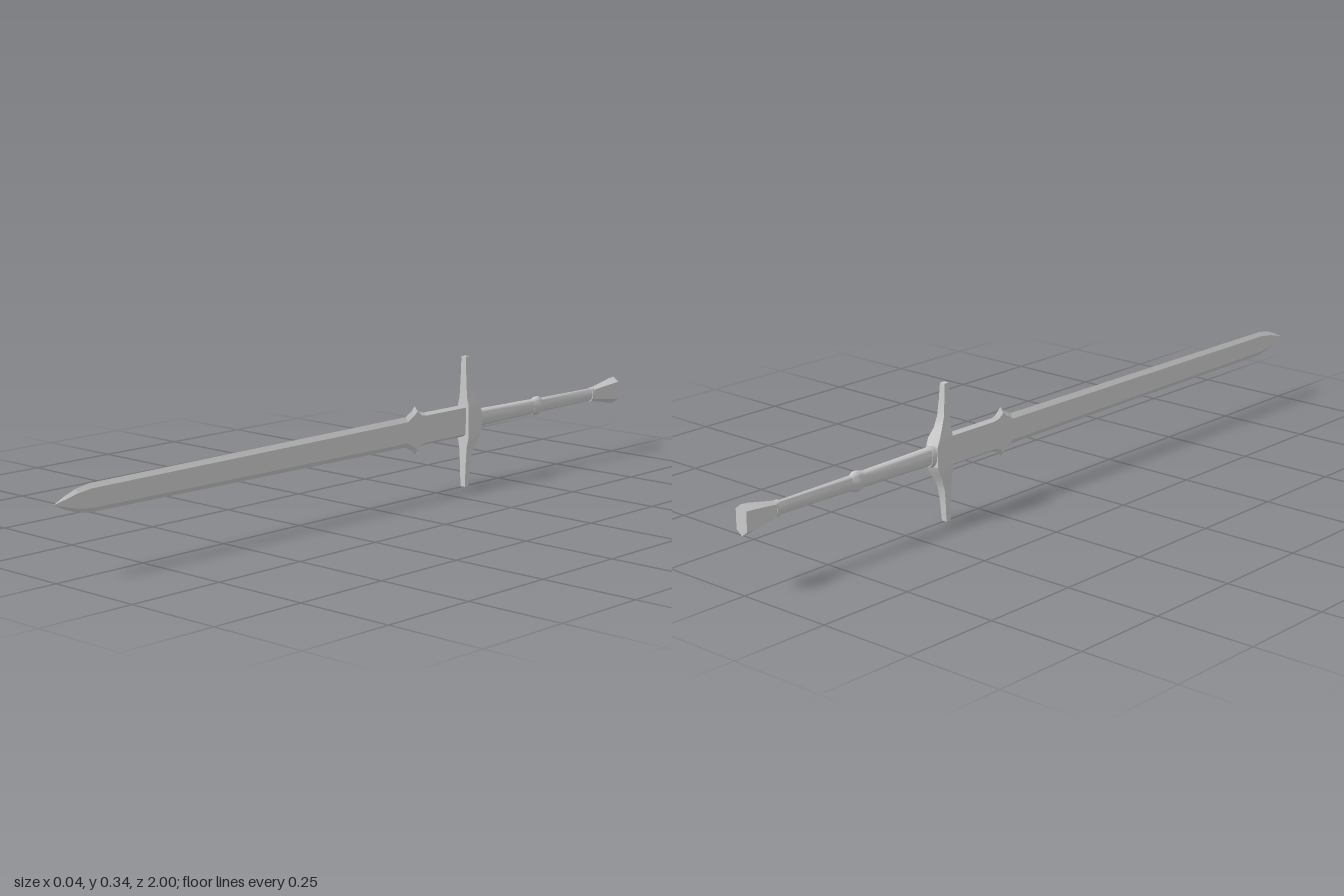
import * as THREE from 'three';
import { toCreasedNormals } from 'three/addons/utils/BufferGeometryUtils.js';

const MID = 0.175; // height of the sword's long axis

// Skins a list of equal-length rings (counter-clockwise about the travel axis) and caps both ends.
function loft(rings, crease) {
  const n = rings[0].length;
  const pos = rings.flat(2);
  const index = [];
  for (let i = 0; i < rings.length - 1; i++) {
    for (let j = 0; j < n; j++) {
      const a = i * n + j, b = i * n + (j + 1) % n;
      index.push(a, b, b + n, a, b + n, a + n);
    }
  }
  const last = (rings.length - 1) * n;
  for (let j = 1; j < n - 1; j++) {
    index.push(0, j + 1, j, last, last + j, last + j + 1);
  }
  const geo = new THREE.BufferGeometry();
  geo.setAttribute('position', new THREE.Float32BufferAttribute(pos, 3));
  geo.setIndex(index);
  return toCreasedNormals(geo, crease);
}

// Six-sided section: flat cheeks of half-height f, pointed edges at half-height h.
const hexRing = (z, h, f, x) =>
  [[x, -f], [x, f], [0, h], [-x, f], [-x, -f], [0, -h]].map(([px, py]) => [px, MID + py, z]);

// Oval section with half-width rx and half-height ry.
const ovalRing = (z, rx, ry, sides = 20) =>
  Array.from({ length: sides }, (_, i) => {
    const a = (i / sides) * Math.PI * 2;
    return [rx * Math.cos(a), MID + ry * Math.sin(a), z];
  });

export function createModel() {
  const group = new THREE.Group();
  const material = new THREE.MeshStandardMaterial({ color: 0xcccccc });
  const add = (name, geometry) => {
    const mesh = new THREE.Mesh(geometry, material);
    mesh.name = name;
    group.add(mesh);
  };

  // Blade with two pointed lugs ahead of the guard: [z, edge, cheek, half thickness]
  const blade = [
    [-0.375, 0.042, 0.035, 0.009],
    [-0.2, 0.042, 0.035, 0.009],
    [-0.185, 0.046, 0.037, 0.009],
    [-0.175, 0.053, 0.043, 0.009],
    [-0.167, 0.063, 0.05, 0.009],
    [-0.158, 0.052, 0.042, 0.009],
    [-0.143, 0.045, 0.034, 0.009],
    [-0.132, 0.039, 0.027, 0.0085],
    [0.9, 0.033, 0.022, 0.0075],
    [0.94, 0.026, 0.017, 0.0075],
    [0.97, 0.015, 0.009, 0.006],
    [1.0, 0.0008, 0.0004, 0.0005],
  ];
  add('blade', loft(blade.map((s) => hexRing(...s)), 0.15));

  // Crossguard, flat in front and swelling to the rear: [distance from centre, half width, rear z]
  const arm = [
    [0.1715, 0.0075, -0.369],
    [0.13, 0.009, -0.372],
    [0.09, 0.011, -0.377],
    [0.065, 0.013, -0.386],
    [0.042, 0.0185, -0.4],
    [0.025, 0.0185, -0.407],
  ];
  const guard = [
    ...arm.map(([d, w, z]) => [0.1715 - d, w, z]),
    ...arm.map(([d, w, z]) => [0.1715 + d, w, z]).reverse(),
  ];
  add('crossguard', loft(guard.map(([y, w, z]) => [
    [w, y, -0.355], [w, y, z], [-w, y, z], [-w, y, -0.355],
  ]), 0.35));

  // Collar where the grip meets the guard
  add('gripCollar', loft([
    ovalRing(-0.418, 0.014, 0.026),
    ovalRing(-0.411, 0.017, 0.029),
    ovalRing(-0.385, 0.017, 0.029),
  ], 0.6));

  // Grip in two sections: [z, half width, half height]
  const grip = [
    [-0.91, 0.008, 0.017],
    [-0.68, 0.009, 0.019],
    [-0.6, 0.0115, 0.021],
    [-0.5, 0.0125, 0.022],
    [-0.4, 0.013, 0.024],
  ];
  add('grip', loft(grip.map((s) => ovalRing(...s)), 0.6));

  // Ring between the two grip sections
  const ring = [
    [-0.675, 0.009, 0.019],
    [-0.662, 0.0145, 0.025],
    [-0.652, 0.0145, 0.025],
    [-0.638, 0.011, 0.021],
  ];
  add('gripRing', loft(ring.map((s) => ovalRing(...s)), 0.6));

  // Small band in front of the pommel
  add('pommelBand', loft([
    ovalRing(-0.905, 0.0105, 0.02),
    ovalRing(-0.894, 0.0105, 0.02),
  ], 0.6));

  // Flared six-sided pommel
  const pommel = [
    [-1.0, 0.037, 0.024, 0.017],
    [-0.98, 0.035, 0.023, 0.0175],
    [-0.94, 0.027, 0.018, 0.013],
    [-0.903, 0.02, 0.013, 0.0095],
  ];
  add('pommel', loft(pommel.map((s) => hexRing(...s)), 0.35));

  return group;
}
